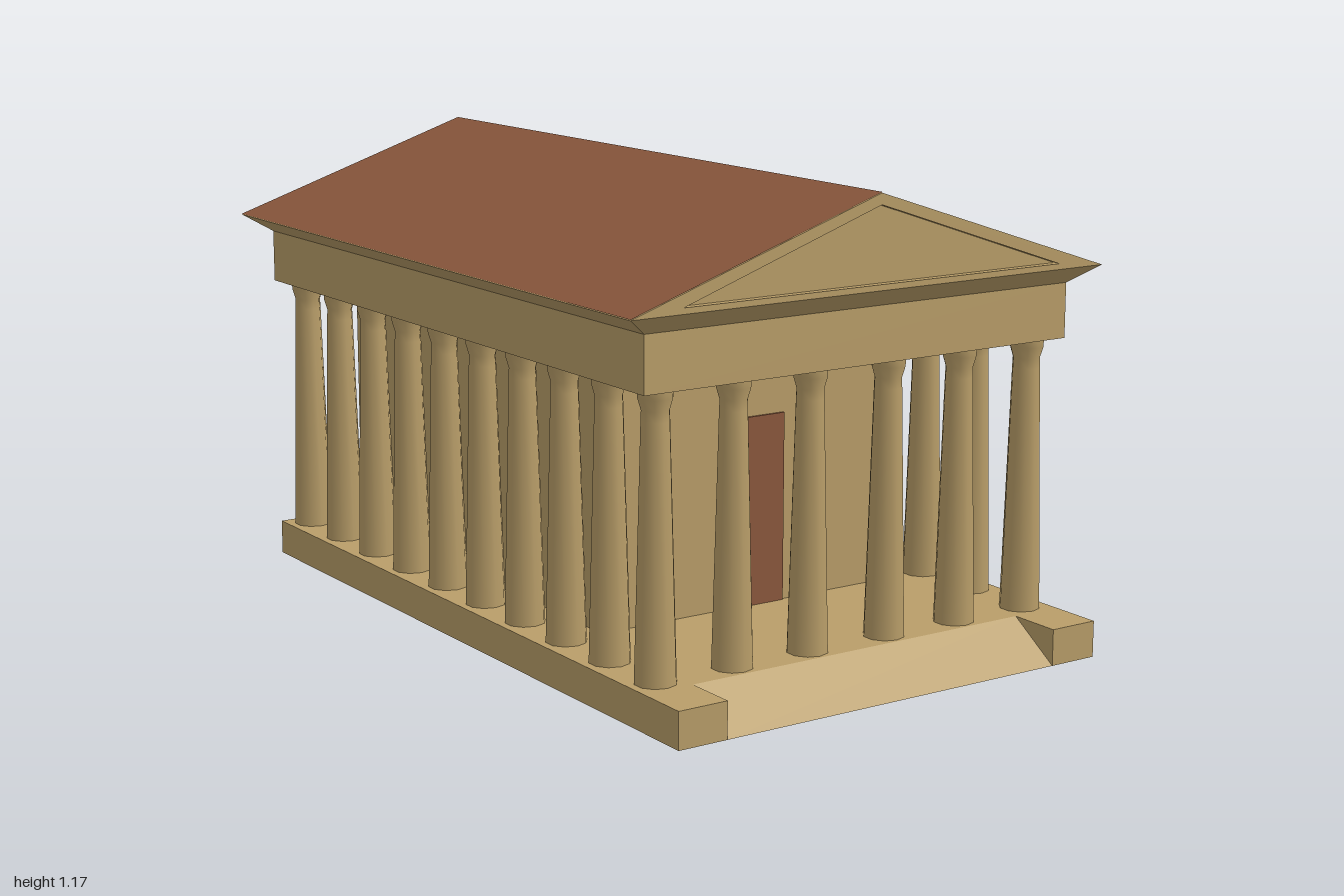
import * as THREE from 'three';

const stone = new THREE.MeshStandardMaterial({ color: 0xb99e69 });
stone.name = 'sandstone';
const sheetStone = new THREE.MeshStandardMaterial({ color: 0xb99e69, side: THREE.DoubleSide });
sheetStone.name = 'sandstone sheet';
const clay = new THREE.MeshStandardMaterial({ color: 0x8b583d });
clay.name = 'terracotta';

export function createModel() {
  const model = new THREE.Group();
  model.name = 'temple';

  const add = (name, geometry, material = stone, parent = model) => {
    const mesh = new THREE.Mesh(geometry, material);
    mesh.name = name;
    parent.add(mesh);
    return mesh;
  };
  // Box given by its lower and upper limits
  const block = (name, x0, x1, y0, y1, z0, z1, material) => {
    const g = new THREE.BoxGeometry(x1 - x0, y1 - y0, z1 - z0);
    g.translate((x0 + x1) / 2, (y0 + y1) / 2, (z0 + z1) / 2);
    return add(name, g, material);
  };
  // Flat convex face, corners counter-clockwise
  const face = (...corners) => {
    const points = [];
    for (let i = 1; i < corners.length - 1; i++) points.push(corners[0], corners[i], corners[i + 1]);
    const g = new THREE.BufferGeometry();
    g.setAttribute('position', new THREE.Float32BufferAttribute(points.flat(), 3));
    g.computeVertexNormals();
    return g;
  };

  const W = 0.605, BACK = -0.949, FRONT = 0.865, RAMP_W = 0.475;
  const FLOOR = 0.09, BEAM = 0.763, CORNICE = 0.898, EAVE = 0.942, RIDGE = 1.164;
  const ROOF_W = 0.672, ROOF_BACK = -1, ROOF_FRONT = 0.915;

  // Platform: a shell open below, its floor notched at the front for the ramp
  const floor = new THREE.Shape([
    [-W, -BACK], [-W, -1], [-RAMP_W, -1], [-RAMP_W, -FRONT],
    [RAMP_W, -FRONT], [RAMP_W, -1], [W, -1], [W, -BACK],
  ].map(([x, y]) => new THREE.Vector2(x, y)));
  add('platformFloor', new THREE.ShapeGeometry(floor).rotateX(-Math.PI / 2).translate(0, FLOOR, 0), sheetStone);
  // Upright wall between two ground points
  const wall = (name, x0, z0, x1, z1) =>
    add(name, face([x0, 0, z0], [x1, 0, z1], [x1, FLOOR, z1], [x0, FLOOR, z0]), sheetStone);
  wall('platformBackWall', W, BACK, -W, BACK);
  wall('platformLeftWall', W, 1, W, BACK);
  wall('platformRightWall', -W, BACK, -W, 1);
  wall('leftFrontWall', RAMP_W, 1, W, 1);
  wall('rightFrontWall', -W, 1, -RAMP_W, 1);

  // Ramp and the triangular cheeks beside it
  add('ramp', face([-RAMP_W, 0, 1], [RAMP_W, 0, 1], [RAMP_W, FLOOR, FRONT], [-RAMP_W, FLOOR, FRONT]), sheetStone);
  add('leftRampCheek', face([RAMP_W, 0, 1], [RAMP_W, FLOOR, 1], [RAMP_W, FLOOR, FRONT]), sheetStone);
  add('rightRampCheek', face([-RAMP_W, 0, 1], [-RAMP_W, FLOOR, FRONT], [-RAMP_W, FLOOR, 1]), sheetStone);

  // Inner chamber and door
  block('chamber', -0.437, 0.437, FLOOR, BEAM, -0.795, 0.43);
  block('door', -0.09, 0.09, FLOOR, 0.565, 0.43, 0.436, clay);

  // Columns all around the edge
  const profile = [[0.05, FLOOR], [0.034, 0.69], [0.033, 0.715], [0.041, 0.742], [0.042, BEAM]]
    .map(([r, y]) => new THREE.Vector2(r, y));
  const columnGeometry = new THREE.LatheGeometry(profile, 10);
  const columnX = [-0.537, -0.327, -0.113, 0.113, 0.327, 0.537];
  const columns = new THREE.Group();
  columns.name = 'columns';
  model.add(columns);
  columnX.forEach((x, i) => {
    for (let j = 0; j < 10; j++) {
      if (i > 0 && i < 5 && j > 0 && j < 9) continue;
      add('column', columnGeometry, stone, columns).position.set(x, 0, 0.807 - j * 0.1884);
    }
  });

  // Beam on the columns, and the cornice flaring out above it
  block('beam', -W, W, BEAM, CORNICE, BACK, FRONT);
  const cornice = block('cornice', -W, W, CORNICE, EAVE, BACK, FRONT).geometry;
  const p = cornice.attributes.position;
  for (let i = 0; i < p.count; i++) {
    if (p.getY(i) < (CORNICE + EAVE) / 2) continue;
    p.setX(i, Math.sign(p.getX(i)) * ROOF_W);
    p.setZ(i, p.getZ(i) > 0 ? ROOF_FRONT : ROOF_BACK);
  }
  cornice.computeVertexNormals();

  // Gables: solid core with a raised triangular frame at each end
  const triangle = (Type, halfWidth, y0, y1) => new Type([
    new THREE.Vector2(-halfWidth, y0), new THREE.Vector2(halfWidth, y0), new THREE.Vector2(0, y1)]);
  const RECESS = 0.02;
  const extrude = (shape, z0, z1) =>
    new THREE.ExtrudeGeometry(shape, { depth: z1 - z0, bevelEnabled: false }).translate(0, 0, z0);
  add('gableCore', extrude(triangle(THREE.Shape, ROOF_W, EAVE, RIDGE), ROOF_BACK + RECESS, ROOF_FRONT - RECESS));
  const frame = triangle(THREE.Shape, ROOF_W, EAVE, RIDGE);
  frame.holes.push(triangle(THREE.Path, 0.536, 0.956, 1.137));
  add('frontGableFrame', extrude(frame, ROOF_FRONT - RECESS, ROOF_FRONT));
  add('backGableFrame', extrude(frame, ROOF_BACK, ROOF_BACK + RECESS));

  // Roof slopes, just above the gables
  const e = EAVE + 0.002, r = RIDGE + 0.002;
  add('leftRoofSlope', face([ROOF_W, e, ROOF_FRONT], [ROOF_W, e, ROOF_BACK], [0, r, ROOF_BACK], [0, r, ROOF_FRONT]), clay);
  add('rightRoofSlope', face([-ROOF_W, e, ROOF_BACK], [-ROOF_W, e, ROOF_FRONT], [0, r, ROOF_FRONT], [0, r, ROOF_BACK]), clay);

  return model;
}
